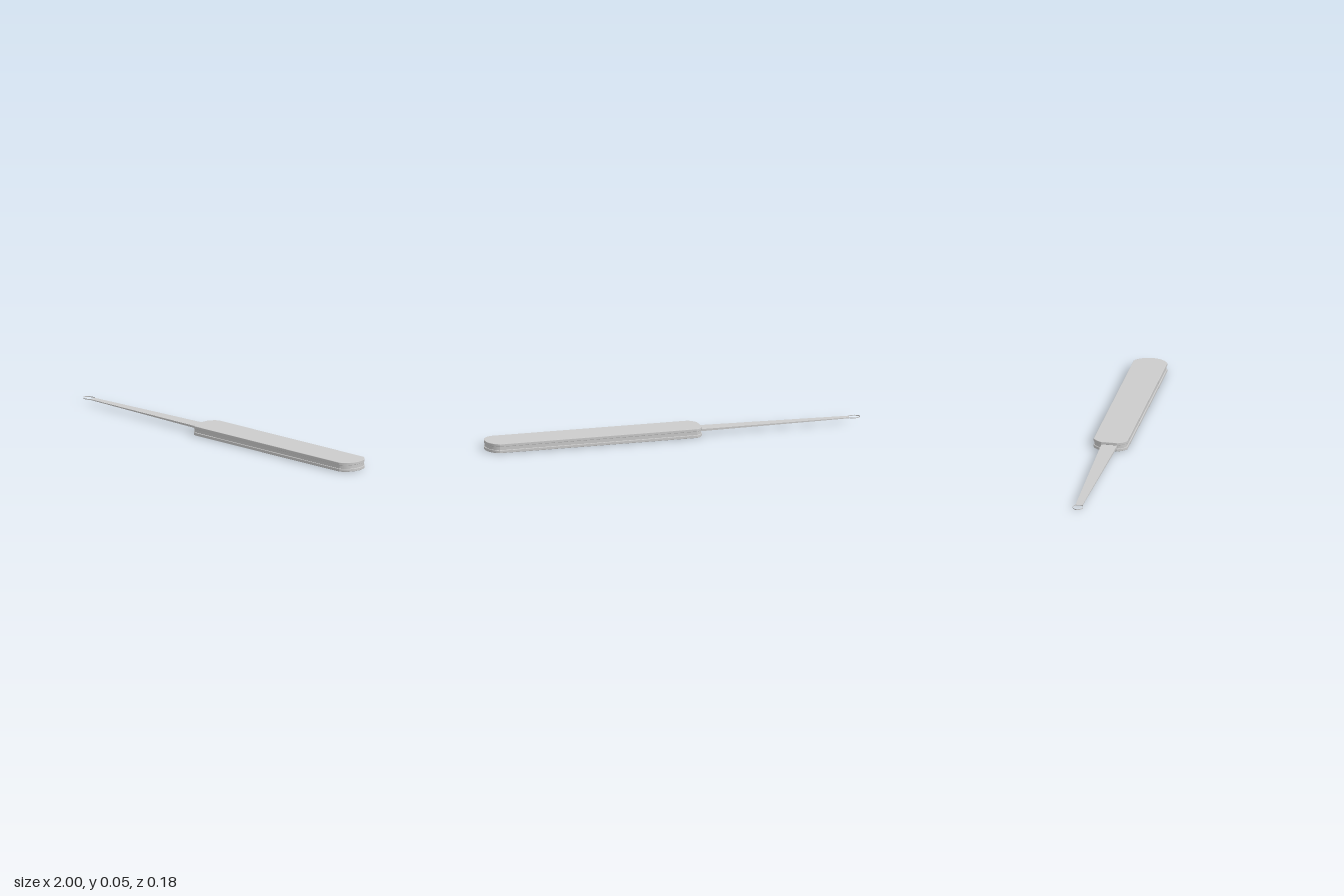
import * as THREE from 'three';

const grey = new THREE.MeshStandardMaterial({ color: 0xcccccc });
const thin = new THREE.MeshStandardMaterial({ color: 0xcccccc, side: THREE.DoubleSide });

// Handle outline seen from above: narrow rounded shoulder on the left, bowed end on the right
function outline(inset) {
  const w = 0.088 - inset, l = -0.145 + inset, r = 1 - inset;
  const s = new THREE.Shape();
  s.moveTo(l, -0.042);
  s.quadraticCurveTo(-0.13, -w + 0.01, -0.105, -w);
  s.lineTo(0.945, -w);
  s.bezierCurveTo(0.975, -w + 0.012, r, -0.045, r, 0);
  s.bezierCurveTo(r, 0.045, 0.975, w - 0.012, 0.945, w);
  s.lineTo(-0.105, w);
  s.quadraticCurveTo(-0.13, w - 0.01, l, 0.042);
  s.closePath();
  return s;
}

// A flat layer of the handle between two heights
function layer(name, y0, y1, inset, bevel) {
  const geo = new THREE.ExtrudeGeometry(outline(inset), {
    depth: y1 - y0 - 2 * bevel,
    bevelEnabled: bevel > 0,
    bevelThickness: bevel,
    bevelSize: bevel,
    bevelOffset: -bevel,
    bevelSegments: 2,
    curveSegments: 14,
  });
  geo.rotateX(-Math.PI / 2);
  geo.translate(0, y0 + bevel, 0);
  const mesh = new THREE.Mesh(geo, grey);
  mesh.name = name;
  return mesh;
}

export function createModel() {
  const model = new THREE.Group();
  model.name = 'loopTool';

  // Handle: two scales with a recessed core forming the side groove
  const handle = new THREE.Group();
  handle.name = 'handle';
  handle.add(
    layer('lowerScale', 0, 0.015, 0, 0.002),
    layer('handleCore', 0.014, 0.034, 0.005, 0),
    layer('upperScale', 0.033, 0.048, 0, 0.002),
  );
  model.add(handle);

  // Blade: a bar tapering in width and thickness towards the tip
  const bladeGeo = new THREE.BoxGeometry(1, 1, 1);
  const p = bladeGeo.attributes.position;
  for (let i = 0; i < p.count; i++) {
    const tip = p.getX(i) < 0;
    p.setXYZ(i,
      tip ? -0.94 : -0.1,
      (tip ? 0.025 : 0.027) + p.getY(i) * (tip ? 0.004 : 0.011),
      p.getZ(i) * (tip ? 0.036 : 0.084));
  }
  bladeGeo.computeVertexNormals();
  const blade = new THREE.Mesh(bladeGeo, grey);
  blade.name = 'blade';
  model.add(blade);

  // Tip loop: a thin upright band bent around from one blade corner to the other
  const path = new THREE.CatmullRomCurve3([
    [-0.94, 0.017], [-0.958, 0.026], [-0.982, 0.023], [-1, 0],
    [-0.982, -0.023], [-0.958, -0.026], [-0.94, -0.017],
  ].map(([x, z]) => new THREE.Vector3(x, 0.025, z)));
  const loopGeo = new THREE.PlaneGeometry(1, 0.005, 28, 1);
  const q = loopGeo.attributes.position;
  for (let i = 0; i < q.count; i++) {
    const c = path.getPoint(q.getX(i) + 0.5);
    q.setXYZ(i, c.x, c.y + q.getY(i), c.z);
  }
  loopGeo.computeVertexNormals();
  const loop = new THREE.Mesh(loopGeo, thin);
  loop.name = 'tipLoop';
  model.add(loop);

  return model;
}
